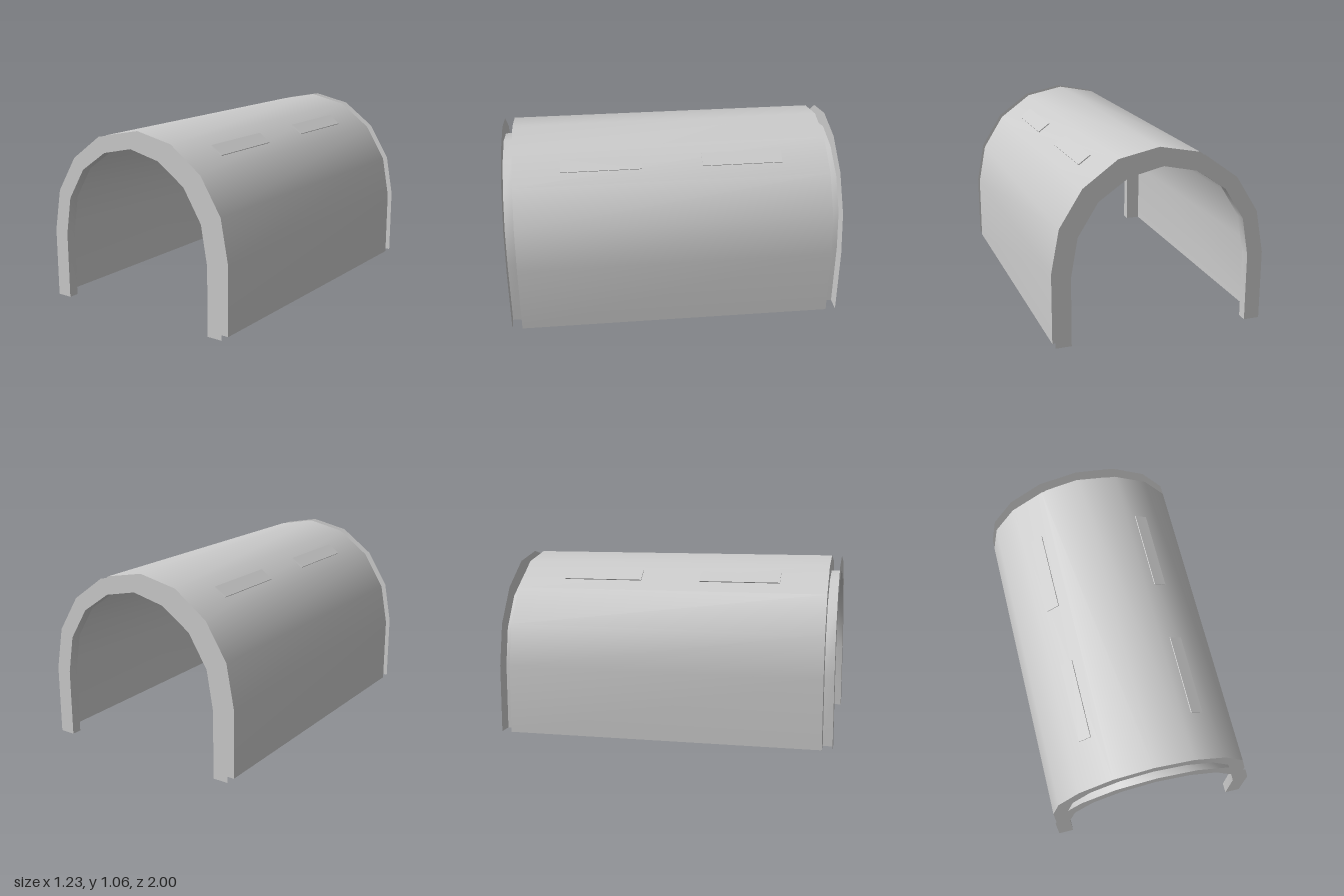
import * as THREE from 'three';

const material = new THREE.MeshStandardMaterial({ color: 0xcccccc, side: THREE.DoubleSide });

// Half arch from the foot up to the crown, mirrored into a full arch
function arch(half) {
  const mirrored = half.slice(0, -1).reverse().map(([x, y]) => [-x, y]);
  return [...half, ...mirrored].map(([x, y]) => new THREE.Vector2(x, y));
}
const outer = arch([[0.617, 0], [0.617, 0.41], [0.57, 0.66], [0.438, 0.87], [0.237, 1.015], [0, 1.063]]);
const inner = arch([[0.524, 0], [0.524, 0.4], [0.485, 0.623], [0.37, 0.808], [0.197, 0.927], [0, 0.971]]);

const END = 1, STEP = 0.94;

// Smooth sheet swept along z under an arch
function sheet(points, z0, z1) {
  const positions = [], index = [];
  points.forEach((p, i) => {
    positions.push(p.x, p.y, z1, p.x, p.y, z0);
    if (i < points.length - 1) {
      const f = 2 * i;
      index.push(f, f + 1, f + 3, f, f + 3, f + 2);
    }
  });
  const geometry = new THREE.BufferGeometry();
  geometry.setAttribute('position', new THREE.Float32BufferAttribute(positions, 3));
  geometry.setIndex(index);
  geometry.computeVertexNormals();
  return geometry;
}

function add(parent, name, geometry) {
  const mesh = new THREE.Mesh(geometry, material);
  mesh.name = name;
  parent.add(mesh);
  return mesh;
}

// Recessed ceiling fixture: flush plate outside, open frame inside
function fixture() {
  const group = new THREE.Group();
  const w = 0.086, l = 0.48, rim = 0.014;
  const rect = (hw, hl) => [[-hw, -hl], [hw, -hl], [hw, hl], [-hw, hl]].map(([x, y]) => new THREE.Vector2(x, y));
  const shape = new THREE.Shape(rect(w / 2, l / 2));
  shape.holes.push(new THREE.Path(rect(w / 2 - rim, l / 2 - rim)));
  const frame = new THREE.ExtrudeGeometry(shape, { depth: 0.022, bevelEnabled: false });
  frame.rotateX(-Math.PI / 2).translate(0, -0.026, 0);
  add(group, 'fixtureFrame', frame);
  add(group, 'fixturePlate', new THREE.BoxGeometry(w, 0.01, l).translate(0, 0.001, 0));
  return group;
}

export function createModel() {
  const model = new THREE.Group();
  model.name = 'archedTunnel';

  // Main vault
  add(model, 'shell', sheet(outer, -STEP, STEP));

  // Channel rims at both ends: two arch faces joined along the inner edge
  const ring = new THREE.ShapeGeometry(new THREE.Shape([...outer, ...inner.slice().reverse()]));
  for (const side of [1, -1]) {
    const rim = new THREE.Group();
    rim.name = side > 0 ? 'frontRim' : 'backRim';
    for (const [name, z] of [['rimEndFace', END], ['rimStepFace', STEP]]) {
      const face = add(rim, name, ring);
      face.position.z = side * z;
      if (side < 0) face.rotation.y = Math.PI;
    }
    add(rim, 'rimInnerBand', sheet(inner, Math.min(side * STEP, side * END), Math.max(side * STEP, side * END)));
    model.add(rim);
  }

  // Four fixtures set in the sloping roof panels
  const tilt = Math.atan2(0.145, 0.201);
  for (const sx of [1, -1]) {
    for (const sz of [1, -1]) {
      const light = fixture();
      light.name = (sz > 0 ? 'front' : 'back') + (sx > 0 ? 'Left' : 'Right') + 'Fixture';
      light.position.set(sx * 0.333, 0.9455, sz * 0.42);
      light.rotation.z = -sx * tilt;
      model.add(light);
    }
  }
  return model;
}
